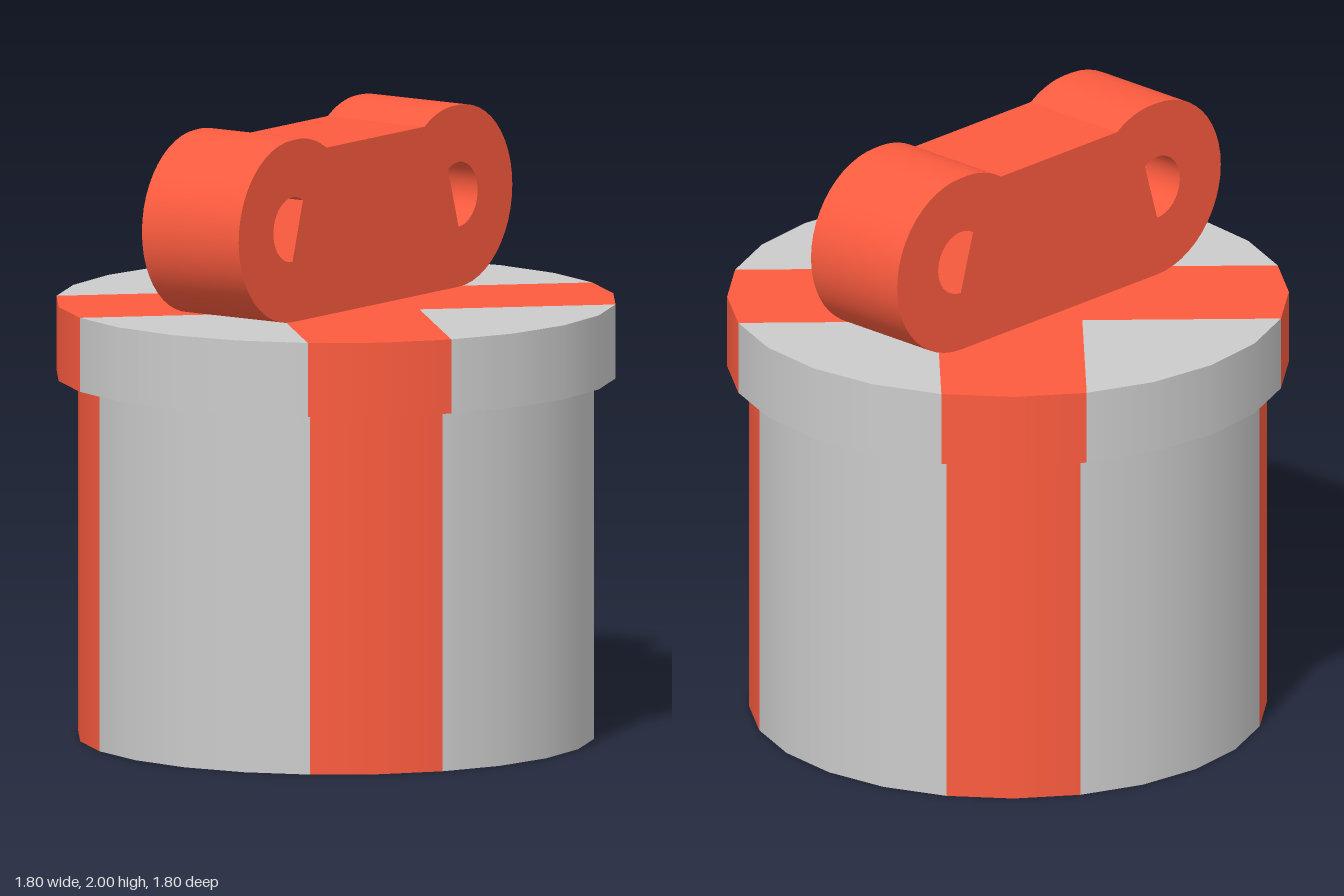
import * as THREE from 'three';
import { toCreasedNormals } from 'three/addons/utils/BufferGeometryUtils.js';

const DEG = Math.PI / 180;
const BODY_R = 0.83, LID_R = 0.9, LID_BOTTOM = 1.17, LID_TOP = 1.41;
const grey = new THREE.MeshStandardMaterial({ color: 0xcccccc });
const red = new THREE.MeshStandardMaterial({ color: 0xfd5c3f });

function add(parent, name, geometry, material) {
  const mesh = new THREE.Mesh(geometry, material);
  mesh.name = name;
  parent.add(mesh);
  return mesh;
}

// Curved wall of a 24-sided drum, alternating ribbon and box panels
function addWall(parent, name, radius, y0, y1) {
  for (let k = 0; k < 4; k++) {
    const panel = (start, sweep) => new THREE.CylinderGeometry(
      radius, radius, y1 - y0, sweep / 15, 1, true, (start + 90 * k) * DEG, sweep * DEG
    ).translate(0, (y0 + y1) / 2, 0);
    add(parent, name + 'Ribbon', panel(-15, 30), red);
    add(parent, name + 'Panel', panel(15, 60), grey);
  }
}

// Point on the lid rim
const rim = (deg) => new THREE.Vector2(Math.cos(deg * DEG), Math.sin(deg * DEG)).multiplyScalar(LID_R);

// Lid top: four grey quarters between the arms of a ribbon cross
function addLidTop(parent) {
  const half = LID_R * Math.sin(15 * DEG);
  const cross = [];
  const flat = (points, turn) => new THREE.ShapeGeometry(new THREE.Shape(points))
    .rotateX(-Math.PI / 2).rotateY(turn).translate(0, LID_TOP, 0);
  for (let k = 0; k < 4; k++) {
    const inner = new THREE.Vector2(half, half);
    const quarter = [inner, ...[15, 30, 45, 60, 75].map(rim)];
    add(parent, 'lidTopQuarter', flat(quarter, k * Math.PI / 2), grey);
    cross.push(...[-15, 0, 15].map((a) => rim(a + 90 * k)),
      inner.clone().rotateAround(new THREE.Vector2(), k * Math.PI / 2));
  }
  add(parent, 'lidTopRibbon', flat(cross, 0), red);
}

// Bow: one extruded outline with two teardrop loops
function bowGeometry() {
  const R = 0.295, cy = LID_TOP + R, cx = 0.455, slope = 33 * DEG, q = Math.PI / 2;
  const outline = new THREE.Shape();
  outline.moveTo(0, 1.78);
  outline.absarc(-0.43, cy, R, q - slope, q, false);
  outline.absarc(-cx, cy, R, q, 3 * q, false);
  outline.absarc(cx, cy, R, -q, q, false);
  outline.absarc(0.43, cy, R, q, q + slope, false);
  outline.closePath();

  for (const side of [-1, 1]) {
    const hole = new THREE.Path();
    hole.moveTo(side * 0.105, 1.612);
    if (side > 0) hole.absarc(cx, cy + 0.005, 0.105, -q, q + slope, false);
    else hole.absarc(-cx, cy + 0.005, 0.105, -q, q - slope, true);
    hole.closePath();
    outline.holes.push(hole);
  }
  const geometry = new THREE.ExtrudeGeometry(outline, { depth: 0.382, bevelEnabled: false, curveSegments: 12 });
  geometry.translate(0, 0, -0.226).rotateY(Math.PI / 4);
  return toCreasedNormals(geometry, 25 * DEG);
}

export function createModel() {
  const model = new THREE.Group();
  model.name = 'giftBox';

  const body = new THREE.Group();
  body.name = 'body';
  addWall(body, 'body', BODY_R, 0, LID_BOTTOM);
  add(body, 'bodyBottom', new THREE.CircleGeometry(BODY_R, 24).rotateX(Math.PI / 2), grey);

  const lid = new THREE.Group();
  lid.name = 'lid';
  addWall(lid, 'lid', LID_R, LID_BOTTOM, LID_TOP);
  add(lid, 'lidUnderside', new THREE.RingGeometry(BODY_R, LID_R, 24)
    .rotateX(Math.PI / 2).translate(0, LID_BOTTOM, 0), grey);
  addLidTop(lid);

  model.add(body, lid);
  add(model, 'bow', bowGeometry(), red);
  return model;
}
